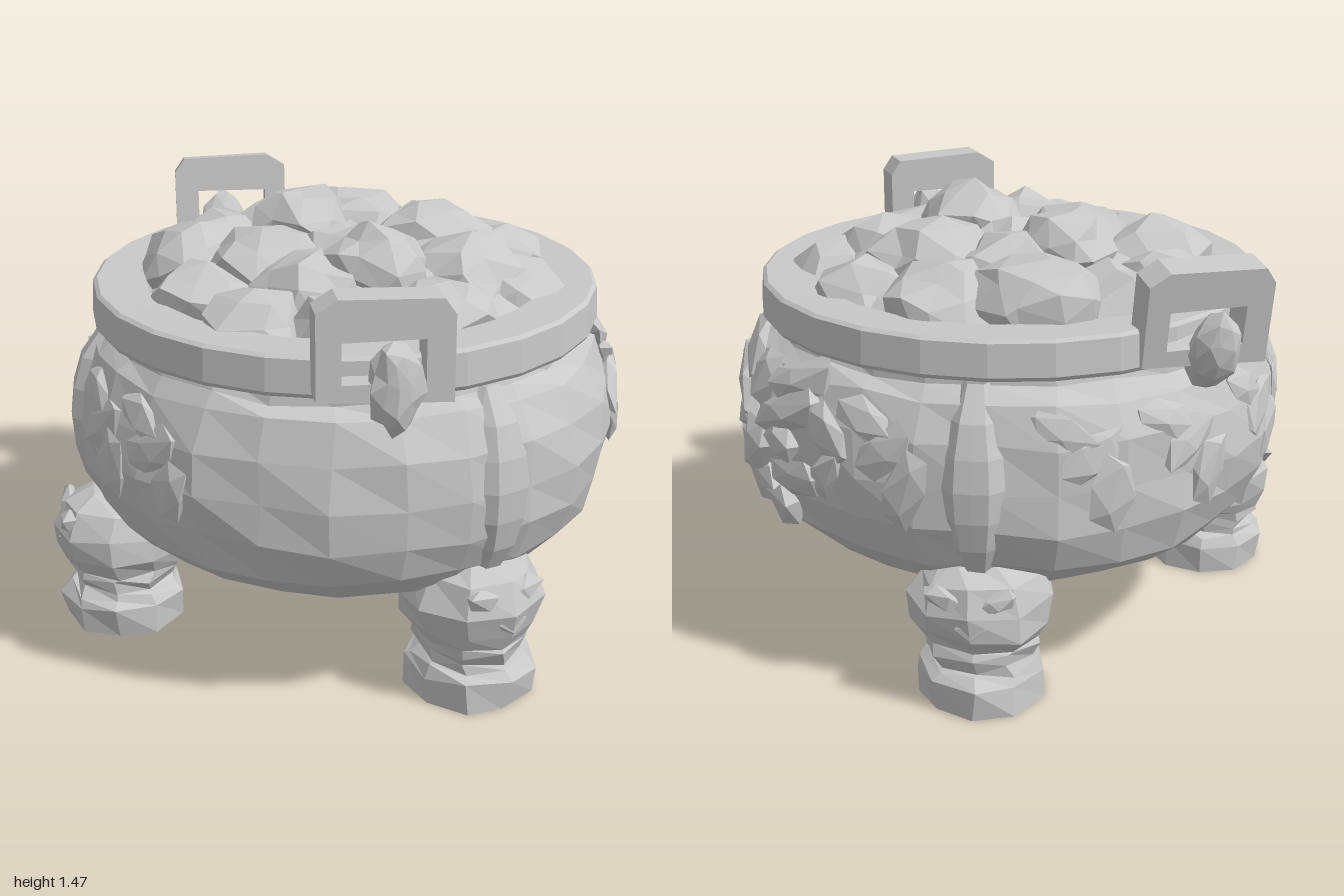
import * as THREE from 'three';
import { mergeVertices } from 'three/addons/utils/BufferGeometryUtils.js';

const stone = new THREE.MeshStandardMaterial({ color: 0xc8c8c8, flatShading: true });
stone.name = 'grey stone';

const CX = -0.02, CZ = 0.055;
const rad = THREE.MathUtils.degToRad;

// Small seeded random source
let seed = 7;
const rnd = () => {
  seed = (seed * 16807) % 2147483647;
  return seed / 2147483647 - 0.5;
};

// Shift the shared corners so facets become irregular without gaps
function roughen(geo, amount) {
  geo.deleteAttribute('normal');
  geo.deleteAttribute('uv');
  const g = mergeVertices(geo, 1e-4);
  const p = g.attributes.position;
  for (let i = 0; i < p.count; i++) {
    p.setXYZ(i, p.getX(i) + rnd() * amount, p.getY(i) + rnd() * amount, p.getZ(i) + rnd() * amount);
  }
  g.computeVertexNormals();
  return g;
}

function add(parent, name, geo) {
  const mesh = new THREE.Mesh(geo, stone);
  mesh.name = name;
  parent.add(mesh);
  return mesh;
}

const lathe = (pts, n) => new THREE.LatheGeometry(pts.map(([r, y]) => new THREE.Vector2(r, y)), n);
const chunk = (detail, amount) => roughen(new THREE.IcosahedronGeometry(1, detail), amount);

// Bowl outline as [radius, height]
const bowl = [[0, 0.265], [0.33, 0.27], [0.57, 0.31], [0.75, 0.39], [0.855, 0.49], [0.905, 0.62],
  [0.918, 0.76], [0.9, 0.9], [0.855, 1.02], [0.8, 1.06], [0.79, 1.12]];

function bowlRadius(y) {
  for (let i = 1; i < bowl.length; i++) {
    const [r0, y0] = bowl[i - 1], [r1, y1] = bowl[i];
    if (y <= y1) return r0 + (r1 - r0) * (y - y0) / (y1 - y0);
  }
  return 0.79;
}

// Faceted lump on the bowl wall: angle from the front, height, size, roll, outward offset
function relief(parent, name, deg, y, sx, sy, sz, roll = 0, out = 0) {
  const m = add(parent, name, chunk(0, 0.4));
  const a = rad(deg), r = bowlRadius(y) + out;
  const lean = Math.atan2(bowlRadius(y - 0.04) - bowlRadius(y + 0.04), 0.08);
  m.scale.set(sx, sy, sz);
  m.position.set(CX + Math.sin(a) * r, y, CZ + Math.cos(a) * r);
  m.rotation.set(-lean, a, rad(roll), 'YXZ');
}

// Leaf-shaped bevelled flange that follows the bowl wall
function flangeGeometry(deg) {
  const g = new THREE.PlaneGeometry(2, 1, 4, 6);
  const p = g.attributes.position;
  for (let i = 0; i < p.count; i++) {
    const u = p.getX(i), t = p.getY(i) + 0.5;
    const y = 0.46 + 0.62 * t;
    const half = 0.055 + 0.05 * Math.sin(Math.PI * t);
    const out = Math.abs(u) > 0.9 ? -0.02 : 0.022;
    const a = rad(deg) + (u * half) / 0.9, r = bowlRadius(y) + out;
    p.setXYZ(i, CX + Math.sin(a) * r, y, CZ + Math.cos(a) * r);
  }
  g.computeVertexNormals();
  return g;
}

// Leg: stepped foot, waist and a bulging knee with a small face
function makeLeg(deg, x, z) {
  const leg = new THREE.Group();
  leg.name = 'leg';
  const pts = [[0, 0], [0.21, 0], [0.215, 0.1], [0.185, 0.13], [0.17, 0.15], [0.185, 0.19],
    [0.185, 0.22], [0.22, 0.27], [0.23, 0.36], [0.195, 0.44], [0.1, 0.48], [0, 0.49]];
  const g = roughen(lathe(pts, 9), 0.028);
  const p = g.attributes.position;
  for (let i = 0; i < p.count; i++) if (p.getY(i) < 0.03) p.setY(i, 0);
  add(leg, 'legColumn', g);
  for (const s of [-1, 1]) {
    const brow = add(leg, 'legBrow', chunk(0, 0.3));
    brow.scale.set(0.09, 0.04, 0.035);
    brow.position.set(s * 0.07, 0.4, 0.175);
    brow.rotation.z = s * 0.35;
  }
  const nose = add(leg, 'legNose', chunk(0, 0.3));
  nose.scale.set(0.06, 0.06, 0.03);
  nose.position.set(0, 0.32, 0.2);
  leg.position.set(x, 0, z);
  leg.rotation.y = rad(deg);
  return leg;
}

// Upright loop handle with a drooping ornament outside
function makeHandle(name, deg, x, z, lean) {
  const handle = new THREE.Group();
  handle.name = name;
  const s = new THREE.Shape();
  [[-0.205, 0.02], [0.205, 0], [0.205, 0.27], [0.17, 0.32], [-0.14, 0.33], [-0.205, 0.29]]
    .forEach(([u, v], i) => (i ? s.lineTo(u, v) : s.moveTo(u, v)));
  const hole = new THREE.Path();
  [[-0.13, 0.07], [-0.13, 0.2], [0.12, 0.2], [0.12, 0.07]]
    .forEach(([u, v], i) => (i ? hole.lineTo(u, v) : hole.moveTo(u, v)));
  s.holes.push(hole);
  const frame = new THREE.ExtrudeGeometry(s, { depth: 0.11, bevelEnabled: false });
  frame.translate(0, 0, -0.055);
  add(handle, 'handleFrame', frame);
  const drop = add(handle, 'handleOrnament', chunk(1, 0.25));
  drop.scale.set(0.085, 0.14, 0.06);
  drop.position.set(0.03, 0.05, 0.05);
  drop.rotation.x = lean;
  handle.position.set(x, 1.1, z);
  handle.rotation.set(lean, rad(deg), 0, 'YXZ');
  return handle;
}

// Packed boulders: x, z, radius, top height
const boulders = [
  [0, -0.2, 0.18, 1.46], [0, 0.03, 0.18, 1.37], [0.28, 0.13, 0.21, 1.42], [-0.1, 0.3, 0.19, 1.45],
  [0.2, 0.4, 0.21, 1.37], [-0.37, -0.3, 0.21, 1.36], [-0.17, -0.46, 0.18, 1.33], [0.09, -0.47, 0.2, 1.33],
  [0.3, -0.32, 0.21, 1.38], [0.47, -0.06, 0.19, 1.35], [-0.27, -0.04, 0.22, 1.39], [-0.52, -0.04, 0.19, 1.32],
  [-0.52, 0.24, 0.18, 1.31], [-0.31, 0.24, 0.18, 1.38], [-0.34, 0.48, 0.19, 1.32], [-0.03, 0.56, 0.19, 1.33],
  [0.34, 0.5, 0.19, 1.3], [0.48, 0.24, 0.18, 1.32], [0.2, -0.1, 0.19, 1.39]];

export function createModel() {
  const model = new THREE.Group();
  model.name = 'tripodCauldron';

  add(model, 'bowl', roughen(lathe(bowl, 26), 0.026)).position.set(CX, 0, CZ);

  // Heavy flat rim with a sloping inner wall
  const rimPts = [[0.77, 1.09], [0.84, 1.095], [0.85, 1.11], [0.843, 1.215], [0.83, 1.225],
    [0.67, 1.22], [0.64, 1.13]];
  add(model, 'rim', lathe(rimPts, 26)).position.set(CX, 0, CZ);

  // Mounded bed under the boulders
  const bed = lathe([[0.68, 1.16], [0.55, 1.24], [0.3, 1.32], [0, 1.34]], 18);
  add(model, 'heapBed', roughen(bed, 0.02)).position.set(-0.01, 0, 0.065);

  const heap = new THREE.Group();
  heap.name = 'boulders';
  for (const [x, z, r, top] of boulders) {
    const b = add(heap, 'boulder', chunk(1, 0.3));
    b.scale.set(r, 0.15, r);
    b.position.set(x, top - 0.145, z);
    b.rotation.y = rnd() * 6;
  }
  model.add(heap);

  // Three legs, each below a vertical flange
  for (const [deg, x, z] of [[-6, -0.09, 0.785], [122, 0.61, -0.335], [240, -0.71, -0.335]]) {
    model.add(makeLeg(deg, x, z));
    add(model, 'flange', flangeGeometry(deg));
  }

  model.add(makeHandle('frontHandle', -30, -0.47, 0.78, 0));
  model.add(makeHandle('backHandle', 147, 0.12, -0.8, rad(10)));

  // Large beast mask on the front left wall, its lumps overlapping
  const mask = new THREE.Group();
  mask.name = 'beastMask';
  const M = 66;
  for (const s of [-1, 1]) {
    relief(mask, 'maskHorn', M + s * 13, 1.0, 0.19, 0.07, 0.04, s * 22);
    relief(mask, 'maskBrow', M + s * 11, 0.89, 0.2, 0.075, 0.045, s * 28);
    relief(mask, 'maskEye', M + s * 10, 0.79, 0.1, 0.07, 0.04);
    relief(mask, 'maskEar', M + s * 24, 0.87, 0.14, 0.075, 0.035, s * -35);
    relief(mask, 'maskCheek', M + s * 14, 0.68, 0.16, 0.07, 0.035, s * 20);
    relief(mask, 'maskWhisker', M + s * 24, 0.74, 0.12, 0.06, 0.03, s * 50);
    relief(mask, 'maskJaw', M + s * 6, 0.55, 0.1, 0.1, 0.05, s * 15);
  }
  relief(mask, 'maskForehead', M, 0.95, 0.1, 0.12, 0.04);
  relief(mask, 'maskNose', M, 0.74, 0.11, 0.11, 0.055, 0, 0.01);
  relief(mask, 'maskLip', M, 0.63, 0.17, 0.07, 0.05);
  model.add(mask);

  // Low swirls around the sides and back
  const swirls = new THREE.Group();
  swirls.name = 'swirls';
  for (const d of [104, 144, 167, 192, 216, 262, 280]) {
    relief(swirls, 'swirlArm', d, 0.86, 0.14, 0.07, 0.024, 35);
    relief(swirls, 'swirlCurl', d + 5, 0.75, 0.08, 0.13, 0.024, -15);
    relief(swirls, 'swirlTip', d - 5, 0.95, 0.12, 0.06, 0.024, -25);
  }
  model.add(swirls);

  return model;
}
